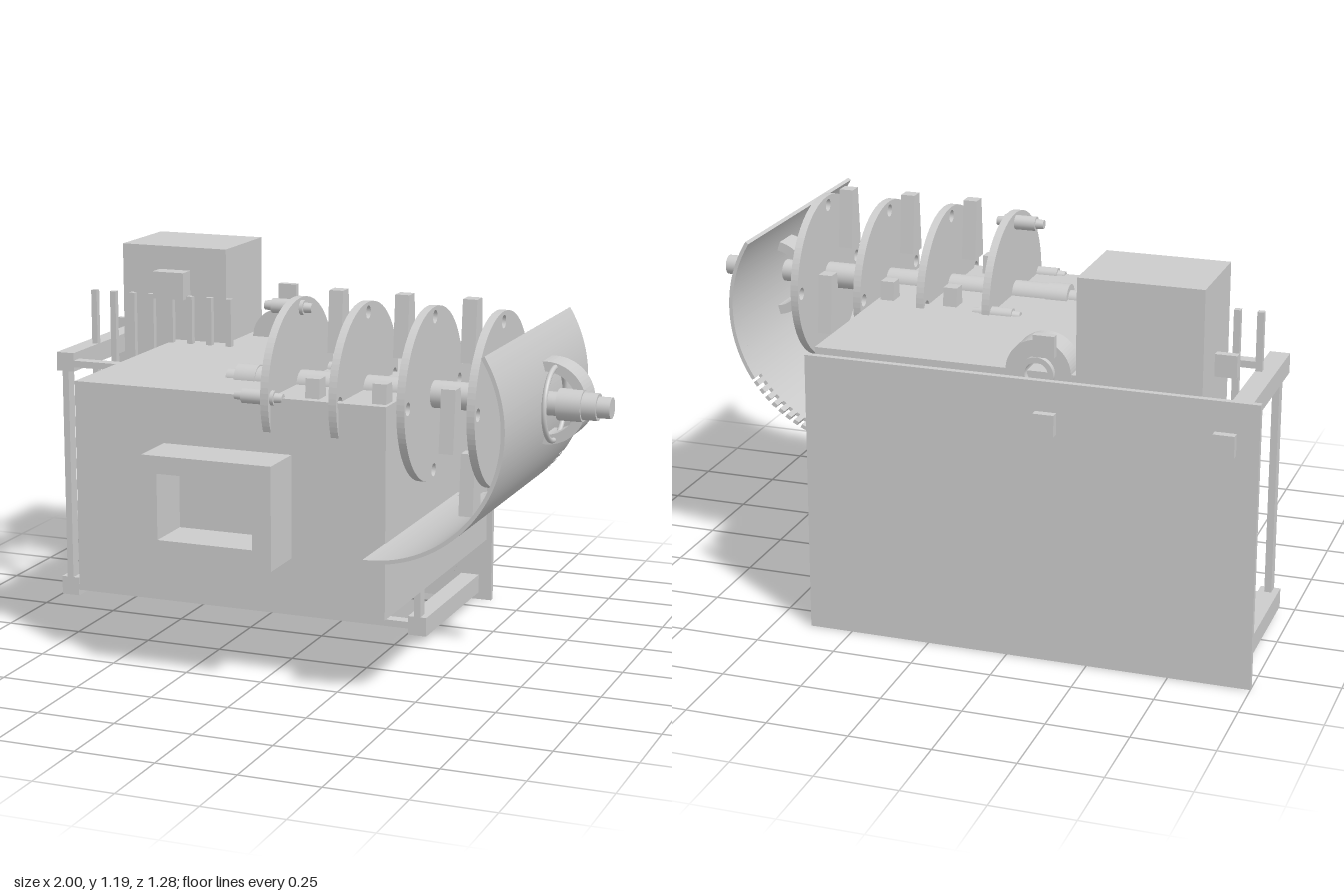
import * as THREE from 'three';

const mat = new THREE.MeshStandardMaterial({ color: 0xcccccc, side: THREE.DoubleSide });

export function createModel() {
  const model = new THREE.Group();

  const add = (name, geo) => {
    const m = new THREE.Mesh(geo, mat);
    m.name = name;
    model.add(m);
    return m;
  };
  // Box given by its limits on each axis
  const box = (name, x0, x1, y0, y1, z0, z1) => {
    const m = add(name, new THREE.BoxGeometry(x1 - x0, y1 - y0, z1 - z0));
    m.position.set((x0 + x1) / 2, (y0 + y1) / 2, (z0 + z1) / 2);
    return m;
  };
  // Cylinder lying along x
  const rodX = (name, x0, x1, r0, r1, y, z) => {
    const g = new THREE.CylinderGeometry(r1, r0, x1 - x0, 32).rotateZ(-Math.PI / 2);
    add(name, g).position.set((x0 + x1) / 2, y, z);
  };
  const circle = (path, x, y, r) => path.absarc(x, y, r, 0, Math.PI * 2, false);
  const extrude = (shape, depth, curveSegments = 32) =>
    new THREE.ExtrudeGeometry(shape, { depth, bevelEnabled: false, curveSegments });
  // Hollow ring whose axis is z
  const ringZ = (name, x, y, z0, z1, outer, inner) => {
    const s = circle(new THREE.Shape(), 0, 0, outer);
    s.holes.push(circle(new THREE.Path(), 0, 0, inner));
    add(name, extrude(s, z1 - z0)).position.set(x, y, z0);
  };

  // Main housing and back panel
  box('housing', -0.635, 0.385, 0.228, 0.88, -0.52, 0.457);
  box('backPanel', -1, 0.385, 0, 0.88, -0.6, -0.58);

  // Front hatch with a rectangular opening
  const hatch = new THREE.Shape();
  hatch.moveTo(-0.335, 0.39).lineTo(0.085, 0.39).lineTo(0.085, 0.71).lineTo(-0.335, 0.71).closePath();
  const opening = new THREE.Path();
  opening.moveTo(-0.285, 0.45).lineTo(-0.285, 0.655).lineTo(0.025, 0.655).lineTo(0.025, 0.45).closePath();
  hatch.holes.push(opening);
  add('hatchFrame', extrude(hatch, 0.16)).position.z = 0.457;

  // Control cabinet, its small box, and the row of vertical bars
  box('cabinet', -0.825, -0.45, 0.563, 1.193, -0.575, -0.277);
  box('cabinetBox', -0.69, -0.58, 1.025, 1.115, -0.277, -0.22);
  for (let i = 0; i < 8; i++) {
    const x = -0.91 + i * 0.07;
    box('verticalBar', x - 0.01, x + 0.01, 0.715, 1.038, -0.243, -0.223);
  }

  // Support frame: rails along z, uprights and cross bars
  for (const x of [-0.93, 0.31]) {
    for (const y of [0.055, 0.825]) box('frameRail', x - 0.031, x + 0.031, y - 0.031, y + 0.031, -0.58, -0.045);
    box('frameUpright', x - 0.011, x + 0.011, 0.08, 0.8, -0.085, -0.045);
  }
  for (const y of [0.055, 0.82]) box('frameCrossBar', -0.9, 0.28, y - 0.011, y + 0.011, -0.085, -0.045);

  // Panel mounts: flush discs in front, small blocks behind
  for (const x of [-0.845, 0.225]) {
    for (const y of [0.12, 0.76]) {
      const g = new THREE.CylinderGeometry(0.04, 0.04, 0.004, 32).rotateX(Math.PI / 2);
      add('panelDisc', g).position.set(x, y, -0.579);
    }
  }
  for (const x of [-0.905, -0.372]) {
    for (const y of [0.76, 0.998]) box('rearBlock', x - 0.032, x + 0.032, y - 0.033, y + 0.033, -0.64, -0.615);
  }

  // Pulley on top of the housing
  ringZ('pulley', -0.32, 0.878, -0.525, -0.43, 0.1, 0.05);
  ringZ('pulleyHub', -0.32, 0.878, -0.543, -0.43, 0.052, 0.036);
  rodX('pulleyPin', -0.32, -0.203, 0.028, 0.028, 0.878, -0.425);

  // Stepped main shaft
  const cy = 0.877, cz = 0.212;
  for (const [x0, x1, r] of [[-0.225, -0.19, 0.027], [-0.19, -0.12, 0.046], [-0.12, 0.7, 0.042],
    [0.7, 0.84, 0.036], [0.84, 0.915, 0.048], [0.915, 0.96, 0.041], [0.96, 1, 0.032]]) {
    rodX('shaft', x0, x1, r, r, cy, cz);
  }

  // Four rotor discs with pin holes
  const disc = circle(new THREE.Shape(), 0, 0, 0.266);
  for (let k = 0; k < 4; k++) {
    const a = k * Math.PI / 2;
    disc.holes.push(circle(new THREE.Path(), 0.235 * Math.cos(a), 0.235 * Math.sin(a), 0.02));
  }
  const discGeo = extrude(disc, 0.025, 48).rotateY(Math.PI / 2);
  for (const x of [0.006, 0.224, 0.437, 0.652]) add('rotorDisc', discGeo).position.set(x - 0.0125, cy, cz);

  // Stepped pins through the first disc
  for (let k = 0; k < 4; k++) {
    const a = k * Math.PI / 2;
    const y = cy + 0.235 * Math.sin(a), z = cz + 0.235 * Math.cos(a);
    rodX('pin', -0.1, -0.075, 0.014, 0.016, y, z);
    rodX('pin', -0.075, 0.03, 0.023, 0.023, y, z);
    rodX('pin', 0.03, 0.055, 0.016, 0.014, y, z);
  }

  // Tapered hammers between the discs
  const hammerGeo = new THREE.BoxGeometry(0.045, 0.19, 0.078);
  const p = hammerGeo.attributes.position;
  for (let i = 0; i < p.count; i++) if (p.getY(i) > 0) p.setZ(i, p.getZ(i) * 0.58);
  hammerGeo.computeVertexNormals();
  for (const x of [0.14, 0.352, 0.565]) {
    for (const [dy, dz] of [[0.235, 0], [-0.235, 0], [0, 0.19], [0, -0.19]]) {
      add('hammer', hammerGeo).position.set(x, 0.845 + dy, 0.21 + dz);
    }
  }

  // Curved guard with a slotted rear edge
  const deg = Math.PI / 180;
  const arc = (name, a0, a1, z0, z1, segs) => {
    const s = new THREE.Shape();
    s.absarc(0, 0, 0.417, a0 * deg, a1 * deg, false);
    s.absarc(0, 0, 0.405, a1 * deg, a0 * deg, true);
    add(name, extrude(s, z1 - z0, segs)).position.set(0.39, 0.87, z0);
  };
  arc('guard', -91, 32, -0.165, 0.64, 48);
  arc('guardEdge', -34, 32, -0.213, -0.165, 26);
  for (let i = 0; i < 14; i++) arc('guardTooth', -91 + i * 4.1, -88.6 + i * 4.1, -0.213, -0.165, 2);

  // Bearing on the outer end: wheel and thin seal ring
  ringZ('bearingWheel', 0.798, 0.877, 0.117, 0.215, 0.125, 0.095);
  const seal = add('sealRing', new THREE.TorusGeometry(0.11, 0.008, 12, 48).rotateY(Math.PI / 2));
  seal.position.set(0.825, cy, cz);

  return model;
}
